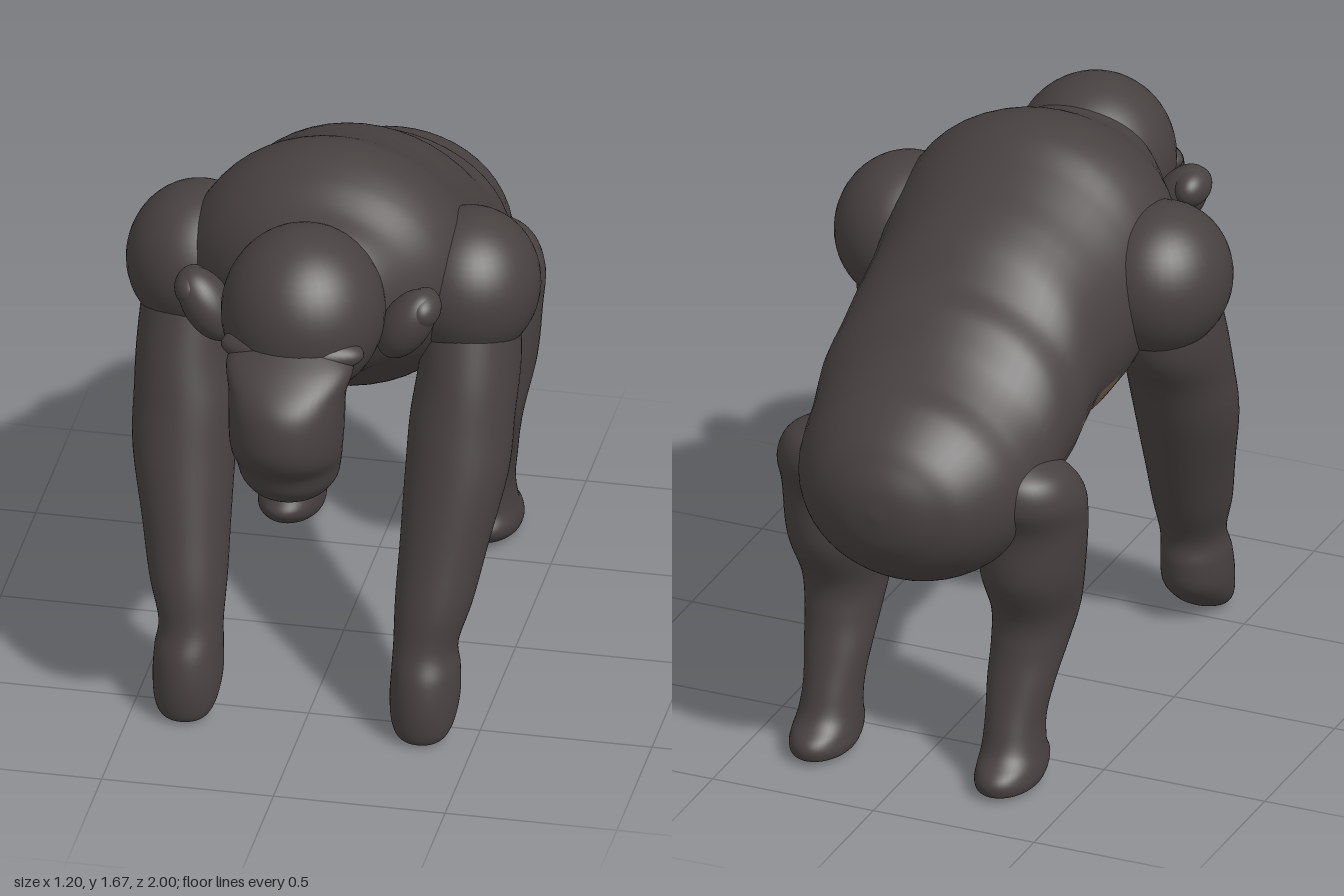
import * as THREE from 'three';

const fur = new THREE.MeshStandardMaterial({ color: 0x474140 });
fur.name = 'dark fur';
const skin = new THREE.MeshStandardMaterial({ color: 0x71604f });
skin.name = 'bare skin';

// Smooth interpolation of one number through four neighbours
function spline(a, b, c, d, t) {
  return 0.5 * (2 * b + (c - a) * t + (2 * a - 5 * b + 4 * c - d) * t * t
    + (3 * b - a - 3 * c + d) * t * t * t);
}

// Smooth tube through elliptical rings [cx, cy, cz, rx, r2];
// r2 runs along z for upright parts and along y for lying ones
function loft(name, rings, upright, isSkin = () => false, steps = 8, sides = 48) {
  const at = (i) => rings[Math.max(0, Math.min(rings.length - 1, i))];
  const pos = [];
  const rows = (rings.length - 1) * steps;
  for (let i = 0; i <= rows; i++) {
    const k = Math.min(Math.floor(i / steps), rings.length - 2);
    const t = i / steps - k;
    const [cx, cy, cz, r1, r2] = at(k).map((v, n) =>
      spline(at(k - 1)[n], v, at(k + 1)[n], at(k + 2)[n], t));
    for (let j = 0; j < sides; j++) {
      const a = (j / sides) * Math.PI * 2;
      const u = Math.max(r1, 0.002) * Math.cos(a);
      const v = Math.max(r2, 0.002) * Math.sin(a);
      pos.push(cx + u, cy + (upright ? 0 : v), cz + (upright ? v : 0));
    }
  }
  const faces = [[], []];
  for (let i = 0; i < rows; i++) {
    for (let j = 0; j < sides; j++) {
      const a = i * sides + j, b = i * sides + (j + 1) % sides;
      const c = a + sides, d = b + sides;
      const mid = [0, 1, 2].map((n) => (pos[a * 3 + n] + pos[d * 3 + n]) / 2);
      faces[isSkin(...mid) ? 1 : 0].push(a, b, c, b, d, c);
    }
  }
  // Close both ends
  for (let j = 1; j < sides - 1; j++) {
    const e = rows * sides;
    faces[0].push(0, j + 1, j, e, e + j, e + j + 1);
  }
  const geo = new THREE.BufferGeometry();
  geo.setAttribute('position', new THREE.Float32BufferAttribute(pos, 3));
  geo.setIndex([...faces[0], ...faces[1]]);
  geo.addGroup(0, faces[0].length, 0);
  geo.addGroup(faces[0].length, faces[1].length, 1);
  geo.computeVertexNormals();
  const mesh = new THREE.Mesh(geo, [fur, skin]);
  mesh.name = name;
  return mesh;
}

function ellipsoid(name, x, y, z, rx, ry, rz, tilt = 0) {
  const mesh = new THREE.Mesh(new THREE.SphereGeometry(1, 40, 28), fur);
  mesh.name = name;
  mesh.position.set(x, y, z);
  mesh.scale.set(rx, ry, rz);
  mesh.rotation.z = tilt;
  return mesh;
}

export function createModel() {
  const model = new THREE.Group();
  model.name = 'ape';

  // Trunk from rump to neck: z, top, bottom, half width
  const trunk = [
    [-1, 0.95, 0.93, 0.01], [-0.985, 1.02, 0.84, 0.1], [-0.95, 1.08, 0.775, 0.18],
    [-0.9, 1.14, 0.715, 0.25], [-0.8, 1.21, 0.65, 0.32], [-0.7, 1.24, 0.63, 0.355],
    [-0.6, 1.29, 0.66, 0.37], [-0.5, 1.37, 0.72, 0.385], [-0.4, 1.41, 0.75, 0.39],
    [-0.3, 1.49, 0.775, 0.385], [-0.2, 1.54, 0.805, 0.385], [-0.1, 1.575, 0.81, 0.4],
    [0, 1.615, 0.83, 0.415], [0.1, 1.66, 0.86, 0.42], [0.2, 1.668, 0.91, 0.42],
    [0.3, 1.64, 0.98, 0.385], [0.4, 1.59, 1.05, 0.32], [0.5, 1.56, 1.09, 0.25],
    [0.6, 1.48, 1.14, 0.18], [0.66, 1.4, 1.25, 0.05],
  ].map(([z, top, low, w]) => [0, (top + low) / 2, z, w, (top - low) / 2]);
  const flank = (x, y, z) => z < -0.085 && z > -0.385 && y < 1.03 && y > 0.9 + z * 0.3;
  model.add(loft('trunk', trunk, false, flank));

  // Head with muzzle, brow and ears
  const head = new THREE.Group();
  head.name = 'head';
  head.add(ellipsoid('skull', 0, 1.36, 0.575, 0.235, 0.25, 0.25));
  head.add(ellipsoid('brow', 0, 1.315, 0.73, 0.208, 0.06, 0.085));
  head.add(loft('muzzle', [
    [0, 1.37, 0.68, 0.1, 0.08], [0, 1.3, 0.75, 0.18, 0.135], [0, 1.22, 0.8, 0.168, 0.175],
    [0, 1.12, 0.81, 0.165, 0.19], [0, 1.05, 0.81, 0.16, 0.175],
    [0, 0.99, 0.78, 0.15, 0.155], [0, 0.93, 0.765, 0.135, 0.145],
    [0, 0.885, 0.765, 0.09, 0.095], [0, 0.868, 0.765, 0.01, 0.01],
  ], true));
  for (const s of [-1, 1]) {
    head.add(ellipsoid('ear', s * 0.29, 1.315, 0.52, 0.07, 0.12, 0.08, -s * 0.55));
    head.add(ellipsoid('earTip', s * 0.337, 1.365, 0.51, 0.05, 0.055, 0.075));
  }
  model.add(head);

  for (const s of [-1, 1]) {
    const side = s > 0 ? 'left' : 'right';

    // Shoulder and arm down to the knuckles
    model.add(ellipsoid(side + 'Shoulder', s * 0.395, 1.26, 0.145, 0.205, 0.22, 0.225));
    model.add(loft(side + 'Arm', [
      [0.4, 1.25, 0.16, 0.14, 0.16], [0.41, 1.05, 0.205, 0.145, 0.19],
      [0.402, 0.9, 0.272, 0.15, 0.17], [0.397, 0.75, 0.328, 0.148, 0.158],
      [0.375, 0.55, 0.402, 0.127, 0.14], [0.358, 0.4, 0.458, 0.112, 0.126],
      [0.342, 0.28, 0.5, 0.093, 0.107], [0.345, 0.2, 0.515, 0.098, 0.125],
      [0.345, 0.12, 0.53, 0.1, 0.125], [0.345, 0.05, 0.565, 0.088, 0.088],
      [0.345, 0.012, 0.59, 0.06, 0.05], [0.345, 0.002, 0.6, 0.01, 0.01],
    ].map(([x, ...r]) => [s * x, ...r]), true));

    // Hind leg with foot, bare patch on the front of the thigh
    const shin = (x, y, z) => y > 0.42 && y < 0.68 && z > -0.5
      && Math.abs(x) > 0.23 && Math.abs(x) < 0.25 + (y - 0.42) * 0.35;
    model.add(loft(side + 'Leg', [
      [0.28, 1.03, -0.64, 0.04, 0.04], [0.29, 0.98, -0.62, 0.13, 0.13],
      [0.3, 0.9, -0.59, 0.162, 0.175], [0.307, 0.8, -0.56, 0.155, 0.165],
      [0.3, 0.64, -0.55, 0.148, 0.17], [0.295, 0.5, -0.515, 0.125, 0.145],
      [0.29, 0.4, -0.545, 0.11, 0.122], [0.285, 0.3, -0.595, 0.098, 0.1],
      [0.283, 0.2, -0.63, 0.086, 0.1], [0.285, 0.12, -0.648, 0.088, 0.115],
      [0.288, 0.07, -0.663, 0.093, 0.158], [0.288, 0.035, -0.68, 0.093, 0.15],
      [0.288, 0.012, -0.69, 0.075, 0.115], [0.288, 0.004, -0.69, 0.01, 0.01],
    ].map(([x, ...r]) => [s * x, ...r]), true, shin));
  }
  return model;
}
